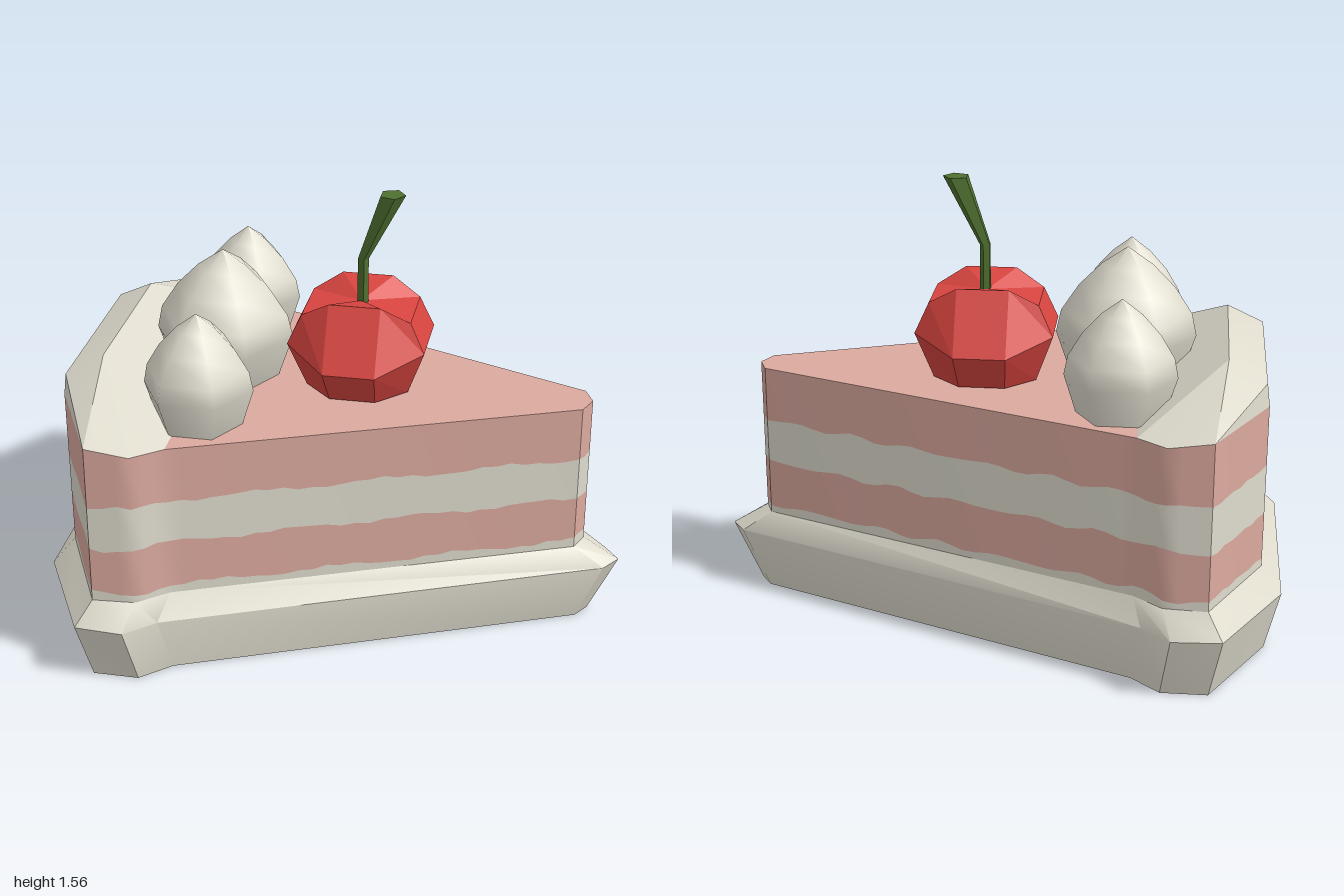
import * as THREE from 'three';
import { toCreasedNormals } from 'three/addons/utils/BufferGeometryUtils.js';

const material = (name, color) => {
  const m = new THREE.MeshStandardMaterial({ color, side: THREE.DoubleSide });
  m.name = name;
  return m;
};

// Join rings of [x, y, z] points, listed from bottom to top, into a closed band
function loft(rings, capTop = null, capBottom = null) {
  const pos = [];
  const tri = (...p) => p.forEach((q) => pos.push(...q));
  const n = rings[0].length;
  for (let r = 0; r + 1 < rings.length; r++) {
    for (let i = 0; i < n; i++) {
      const j = (i + 1) % n, a = rings[r], b = rings[r + 1];
      tri(a[i], b[i], b[j]);
      tri(a[i], b[j], a[j]);
    }
  }
  for (let i = 0; i < n; i++) {
    const j = (i + 1) % n, top = rings[rings.length - 1];
    if (capTop) tri(top[i], capTop, top[j]);
    if (capBottom) tri(rings[0][i], rings[0][j], capBottom);
  }
  return fromTriangles(pos);
}

function fromTriangles(pos) {
  const g = new THREE.BufferGeometry();
  g.setAttribute('position', new THREE.Float32BufferAttribute(pos, 3));
  g.computeVertexNormals();
  return g;
}

// Mirror a half outline [x, z, y] whose first point lies on z = 0
const mirrorOutline = (half) =>
  [...half, ...half.slice(1).reverse().map(([x, z, y]) => [x, -z, y])];

// Wall outline with the height of its top edge
const wall = mirrorOutline([
  [0.87, 0, 0.855], [0.84, 0.07, 0.855], [-0.5, 0.6, 0.855],
  [-0.6, 0.68, 0.855], [-0.75, 0.69, 0.88], [-0.93, 0.33, 0.88],
]);
const rim = mirrorOutline([[1, 0], [0.95, 0.07], [-0.53, 0.69], [-0.63, 0.78], [-0.8, 0.77], [-1, 0.39]]);
const foot = mirrorOutline([[0.9, 0], [0.86, 0.06], [-0.5, 0.63], [-0.6, 0.72], [-0.76, 0.72], [-0.95, 0.36]]);

// Walls flare slightly towards the bottom
const wallPoint = ([x, z], y) => [x, y, z * (1 + Math.max(0, 0.855 - y) * 0.05)];

function subdivide(outline, step) {
  const out = [];
  outline.forEach((p, i) => {
    const q = outline[(i + 1) % outline.length];
    const n = Math.max(1, Math.round(Math.hypot(q[0] - p[0], q[1] - p[1]) / step));
    for (let k = 0; k < n; k++) out.push(p.map((v, c) => v + (q[c] - v) * k / n));
  });
  return out;
}

export function createModel() {
  const group = new THREE.Group();
  const cream = material('cream', 0xdedbcd);
  const sponge = material('pink sponge', 0xdba99e);
  const red = material('cherry red', 0xd94540);
  const green = material('stem green', 0x4f7030);
  const add = (name, geometry, mat) => {
    const mesh = new THREE.Mesh(geometry, mat);
    mesh.name = name;
    group.add(mesh);
    return mesh;
  };

  // Flared cream base, open underneath
  add('creamBase', toCreasedNormals(loft([
    foot.map(([x, z]) => [x, 0, z]),
    rim.map(([x, z]) => [x, 0.22, z]),
    wall.map((p) => wallPoint(p, 0.3)),
  ]), 0.7), cream);

  // Alternating layers with wavy borders
  const fine = subdivide(wall, 0.05);
  const wave = (x, z, k) => 0.007 * Math.sin(21 * x + 13 * z + k * 2) + 0.004 * Math.sin(47 * x - 31 * z + k);
  const border = (y, k) => fine.map((p) => wallPoint(p, y + wave(p[0], p[1], k)));
  const borders = [
    fine.map((p) => wallPoint(p, 0.3)),
    border(0.33, 1), border(0.5, 2), border(0.66, 3),
    fine.map((p) => wallPoint(p, p[2])),
  ];
  ['lowerCream', 'lowerSponge', 'middleCream', 'upperSponge'].forEach((name, i) => {
    add(name, toCreasedNormals(loft([borders[i], borders[i + 1]]), 0.7), i % 2 ? sponge : cream);
  });

  // Flat sponge top
  const top = new THREE.Shape([[-0.5, -0.6], [0.84, -0.07], [0.87, 0], [0.84, 0.07], [-0.5, 0.6]]
    .map(([x, y]) => new THREE.Vector2(x, y)));
  const topMesh = add('spongeTop', new THREE.ShapeGeometry(top).rotateX(-Math.PI / 2), sponge);
  topMesh.position.y = 0.855;

  // Raised cream ridge along the back edge
  const pos = [];
  const at = (s) => ({
    corner: [-0.6, 0.855, 0.68 * s], side: [-0.75, 0.88, 0.69 * s], low: [-0.93, 0.88, 0.33 * s],
    high: [-0.92, 0.96, 0.33 * s], inner: [-0.5, 0.855, 0.6 * s], ridge: [-0.79, 1.03, 0.3 * s],
  });
  const L = at(1), R = at(-1);
  for (const [p, flip] of [[L, false], [R, true]]) {
    for (const t of [
      [p.low, p.side, p.high], [p.high, p.side, p.ridge],
      [p.side, p.corner, p.ridge], [p.corner, p.inner, p.ridge],
    ]) (flip ? t.reverse() : t).forEach((q) => pos.push(...q));
  }
  for (const [a, b, c, d] of [
    [L.low, L.high, R.high, R.low], [L.high, L.ridge, R.ridge, R.high], [L.ridge, L.inner, R.inner, R.ridge],
  ]) [a, b, c, a, c, d].forEach((q) => pos.push(...q));
  add('creamRidge', toCreasedNormals(fromTriangles(pos), 0.4), cream);

  // Six-sided cream dollops
  const dollop = (name, z, r, h) => {
    const profile = [[0.78, 0], [1, 0.33], [0.93, 0.5], [0.68, 0.7], [0.36, 0.87], [0, 1]]
      .map(([x, y]) => new THREE.Vector2(x * r, y * h));
    const mesh = add(name, new THREE.LatheGeometry(profile, 6, Math.PI / 2), cream);
    mesh.position.set(-0.435, 0.853, z);
  };
  dollop('centreDollop', 0, 0.245, 0.47);
  dollop('leftDollop', 0.38, 0.19, 0.4);
  dollop('rightDollop', -0.38, 0.19, 0.4);

  // Faceted cherry: each ring is a chamfered square with an x side and a z side
  const cx = 0.05, cz = -0.02;
  const ring = ([xa, za, ya], [xb, zb, yb]) => [
    [xa, za, ya], [xb, zb, yb], [-xb, zb, yb], [-xa, za, ya],
    [-xa, -za, ya], [-xb, -zb, yb], [xb, -zb, yb], [xa, -za, ya],
  ].map(([x, z, y]) => [cx + x, y, cz + z]);
  add('cherry', loft([
    ring([0.18, 0.08, 0.86], [0.08, 0.18, 0.86]),
    ring([0.24, 0.12, 1.03], [0.09, 0.26, 0.99]),
    ring([0.19, 0.11, 1.14], [0.09, 0.14, 1.2]),
  ], [cx, 1.16, cz], [cx, 0.856, cz]), red);

  // Bent stem widening to the top
  const stemRing = (x, y, r) => Array.from({ length: 5 }, (_, i) => {
    const a = i * Math.PI * 2 / 5;
    return [x + r * Math.cos(a), y, cz + r * Math.sin(a)];
  });
  add('cherryStem', loft([
    stemRing(0.055, 1.14, 0.02), stemRing(0.055, 1.32, 0.02), stemRing(0.155, 1.56, 0.046),
  ], [0.155, 1.56, cz]), green);

  return group;
}
